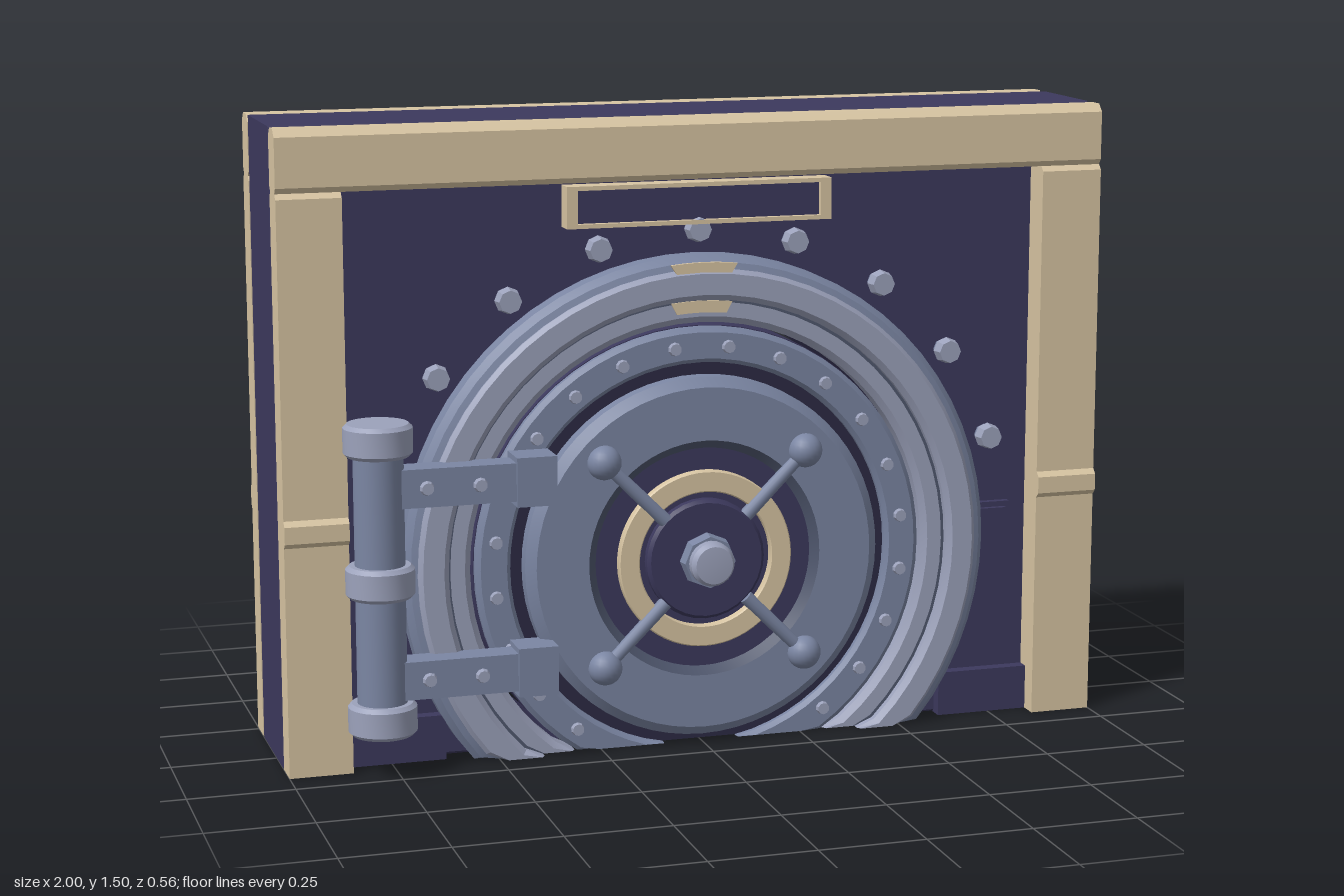
import * as THREE from 'three';
import { toCreasedNormals } from 'three/addons/utils/BufferGeometryUtils.js';

const CY = 0.455; // height of the door's centre
const mat = (name, color) => new THREE.MeshStandardMaterial({ name, color });

export function createModel() {
  const navy = mat('navy', 0x3c395d);
  const darkNavy = mat('dark navy', 0x2c2a44);
  const tan = mat('tan', 0xd8c5a3);
  const steel = mat('blue steel', 0x7b86a3);
  const paleSteel = mat('pale steel', 0x9ca2bb);
  const darkSteel = mat('dark steel', 0x50586f);

  const model = new THREE.Group();
  model.name = 'vaultDoorWall';

  const add = (name, geo, material, parent = model) => {
    const mesh = new THREE.Mesh(geo, material);
    mesh.name = name;
    parent.add(mesh);
    return mesh;
  };
  const group = (name) => {
    const g = new THREE.Group();
    g.name = name;
    model.add(g);
    return g;
  };
  // Box given by its limits
  const box = (name, x0, x1, y0, y1, z0, z1, material, parent) => {
    const geo = new THREE.BoxGeometry(x1 - x0, y1 - y0, z1 - z0);
    geo.translate((x0 + x1) / 2, (y0 + y1) / 2, (z0 + z1) / 2);
    return add(name, geo, material, parent);
  };
  // Ring or disc turned about the door's axis from [radius, z] points, cut off at the floor
  const turned = (name, points, material, parent, segments = 64) => {
    const geo = new THREE.LatheGeometry(points.map(([r, z]) => new THREE.Vector2(r, z)), segments);
    geo.rotateX(Math.PI / 2);
    geo.translate(0, CY, 0);
    const p = geo.attributes.position;
    for (let i = 0; i < p.count; i++) p.setY(i, Math.max(0, p.getY(i)));
    // Leave the ring's opening free of floor-level faces
    const rMin = Math.min(...points.map((q) => q[0]));
    const gap = Math.sqrt(Math.max(0, rMin * rMin - CY * CY));
    const index = geo.index.array, kept = [];
    for (let i = 0; i < index.length; i += 3) {
      const tri = [...index.slice(i, i + 3)];
      const onFloor = tri.every((v) => p.getY(v) === 0);
      if (!onFloor || tri.every((v) => Math.abs(p.getX(v)) >= gap)) kept.push(...tri);
    }
    geo.setIndex(kept);
    return add(name, toCreasedNormals(geo, 0.4), material, parent);
  };
  // Side profile [distance from wall, y] run along x, on the front or back of the wall
  const trim = (name, points, x0, x1, front) => {
    const shape = new THREE.Shape(points.map(([d, y]) => new THREE.Vector2(d, y)));
    const geo = new THREE.ExtrudeGeometry(shape, { depth: x1 - x0, bevelEnabled: false });
    geo.rotateY(front ? -Math.PI / 2 : Math.PI / 2);
    geo.translate(front ? x1 : x0, 0, front ? 0.095 : -0.19);
    return add(name, geo, tan);
  };
  // Cylinder pointing forward from z0 to z1
  const stud = (name, x, y, r, z0, z1, sides, material, parent, tip = r) => {
    const geo = new THREE.CylinderGeometry(tip, r, z1 - z0, sides);
    geo.rotateX(Math.PI / 2);
    geo.translate(x, y, (z0 + z1) / 2);
    return add(name, toCreasedNormals(geo, 0.6), material, parent);
  };

  // Wall with a round opening that runs out through the floor
  const R = 0.56, a = Math.asin(CY / R), hx = R * Math.cos(a);
  const outline = new THREE.Shape();
  outline.moveTo(hx, 0);
  outline.lineTo(1, 0);
  outline.lineTo(1, 1.5);
  outline.lineTo(-1, 1.5);
  outline.lineTo(-1, 0);
  outline.lineTo(-hx, 0);
  outline.absarc(0, CY, R, Math.PI + a, -a, true);
  const bevel = 0.012;
  const wall = new THREE.ExtrudeGeometry(outline, {
    depth: 0.285 - 2 * bevel, bevelThickness: bevel, bevelSize: bevel,
    bevelOffset: -bevel, bevelSegments: 1, curveSegments: 64,
  });
  wall.translate(0, 0, -0.19 + bevel);
  add('wall', toCreasedNormals(wall, 0.4), navy);

  // Beams, banded columns and base blocks on both faces
  const beam = [[0, 1.366], [0.01, 1.355], [0.063, 1.355], [0.073, 1.368], [0.073, 1.482],
    [0.055, 1.5], [0.018, 1.5], [0, 1.482]];
  const column = [[0, 0], [0.075, 0], [0.075, 0.545], [0.087, 0.557], [0.087, 0.597],
    [0.075, 0.609], [0.075, 1.343], [0.063, 1.355], [0.01, 1.355], [0, 1.344]];
  for (const front of [true, false]) {
    const side = front ? 'front' : 'back';
    trim(side + 'Beam', beam, -1, 1, front);
    for (const s of [-1, 1]) {
      trim(side + 'Column', column, s < 0 ? -1 : 0.85, s < 0 ? -0.85 : 1, front);
      const z = front ? [0.09, 0.125] : [-0.22, -0.185];
      box(side + 'BaseBlock', s < 0 ? -0.85 : 0.62, s < 0 ? -0.62 : 0.85, 0, 0.108, ...z, navy);
    }
  }

  // Framed plaque over the door and raised side panel
  const plaque = group('plaque');
  box('plaquePanel', -0.3, 0.3, 1.255, 1.34, 0.09, 0.13, navy, plaque);
  for (const s of [-1, 1]) {
    box('plaqueEnd', s * 0.309 - 0.013, s * 0.309 + 0.013, 1.247, 1.345, 0.09, 0.145, tan, plaque);
    box('plaqueRail', -0.3, 0.3, 1.296 + s * 0.044 - 0.005, 1.296 + s * 0.044 + 0.005,
      0.09, 0.145, tan, plaque);
  }
  box('sidePanel', 0.6, 0.803, 0.165, 0.528, 0.09, 0.112, navy);
  box('sidePanelFace', 0.6, 0.79, 0.178, 0.515, 0.112, 0.125, navy);

  // Stepped door frame
  const frame = group('doorFrame');
  turned('frameRim', [[0.69, 0.09], [0.72, 0.09], [0.72, 0.14], [0.705, 0.158], [0.685, 0.165]],
    steel, frame);
  turned('frameFace', [[0.69, 0.1], [0.69, 0.168], [0.68, 0.178], [0.63, 0.178], [0.617, 0.166],
    [0.617, 0.1]], paleSteel, frame);
  turned('frameStep', [[0.62, 0.15], [0.575, 0.15], [0.56, 0.138], [0.56, 0.09]], paleSteel, frame);
  turned('frameGroove', [[0.62, 0.1505], [0.61, 0.1505]], darkSteel, frame);

  // Tan markers curved along the top of the frame
  for (const [r0, r1, half, z] of [[0.682, 0.706, 0.115, 0.166], [0.585, 0.613, 0.122, 0.146]]) {
    const arc = new THREE.Shape();
    arc.absarc(0, CY, r1, Math.PI / 2 - half, Math.PI / 2 + half, false);
    arc.absarc(0, CY, r0, Math.PI / 2 + half * 0.85, Math.PI / 2 - half * 0.85, true);
    const geo = new THREE.ExtrudeGeometry(arc, { depth: 0.009, bevelEnabled: false });
    geo.translate(0, 0, z);
    add('frameMarker', geo, tan, frame);
  }

  // Wall bolts around the frame
  for (let i = -4; i <= 4; i++) {
    const t = i * Math.PI / 10, x = 0.778 * Math.sin(t), y = CY + 0.778 * Math.cos(t);
    stud('wallBolt', x, y, 0.025, 0.09, 0.115, 8, steel);
    stud('wallBoltHead', x, y, 0.032, 0.115, 0.145, 8, paleSteel, model, 0.027);
  }

  // Door: plug, riveted ring, raised plate and dish
  const door = group('door');
  turned('doorPlug', [[0, -0.065], [0.552, -0.065], [0.552, 0.13], [0.47, 0.13]], navy, door);
  turned('doorGap', [[0.48, 0.131], [0.42, 0.131]], darkNavy, door);
  turned('rivetRing', [[0.55, 0.125], [0.55, 0.143], [0.538, 0.153], [0.475, 0.153],
    [0.465, 0.143], [0.465, 0.125]], steel, door);
  turned('doorPlate', [[0.435, 0.125], [0.435, 0.165], [0.412, 0.185], [0.285, 0.185]], steel, door);
  turned('dishEdge', [[0.286, 0.185], [0.265, 0.168]], darkSteel, door);
  turned('dish', [[0.27, 0.168], [0, 0.168]], navy, door);
  turned('tanRing', [[0.213, 0.165], [0.213, 0.186], [0.21, 0.189], [0.165, 0.189], [0.162, 0.186],
    [0.162, 0.165]], tan, door);
  turned('hubPlate', [[0.145, 0.165], [0.145, 0.186], [0.137, 0.194], [0, 0.194]], navy, door, 32);
  for (let i = 0; i < 24; i++) {
    const t = (i + 0.5) * Math.PI / 12, y = CY + 0.505 * Math.cos(t);
    if (y > 0.02) stud('ringRivet', 0.505 * Math.sin(t), y, 0.017, 0.15, 0.164, 10, paleSteel, door, 0.014);
  }

  // Four-armed handle
  const handle = group('handle');
  stud('hub', 0, CY, 0.067, 0.19, 0.225, 8, steel, handle, 0.062);
  turned('hubKnob', [[0.053, 0.22], [0.053, 0.245], [0.045, 0.258], [0, 0.262]], paleSteel, handle, 24);
  for (let i = 0; i < 4; i++) {
    const t = Math.PI / 4 + i * Math.PI / 2;
    const arm = new THREE.CylinderGeometry(0.015, 0.017, 0.21, 12);
    arm.translate(0, 0.245, 0);
    const rod = add('handleArm', arm, steel, handle);
    rod.position.set(0, CY, 0.186);
    rod.rotation.z = t;
    const ball = add('handleBall', new THREE.SphereGeometry(0.041, 20, 14), steel, handle);
    ball.position.set(0.35 * Math.cos(t), CY + 0.35 * Math.sin(t), 0.184);
  }

  // Hinge post with collars and two strap arms
  const hinge = group('hinge');
  const post = (name, y0, y1, r, b, material) => {
    const pts = [[0, y0], [r - b, y0], [r, y0 + b], [r, y1 - b], [r - b, y1], [0, y1]];
    const geo = new THREE.LatheGeometry(pts.map(([u, v]) => new THREE.Vector2(u, v)), 28);
    geo.translate(-0.785, 0, 0.2);
    add(name, toCreasedNormals(geo, 0.4), material, hinge);
  };
  post('hingePost', 0.12, 0.81, 0.058, 0.005, steel);
  for (const y of [0.1, 0.425, 0.755]) post('hingeCollar', y, y + 0.076, 0.08, 0.009, paleSteel);
  for (const y of [0.228, 0.68]) {
    box('hingeArm', -0.75, -0.46, y - 0.045, y + 0.045, 0.165, 0.235, steel, hinge);
    box('hingeClamp', -0.47, -0.375, y - 0.058, y + 0.058, 0.15, 0.242, steel, hinge);
    for (const x of [-0.68, -0.555]) {
      stud('hingeRivet', x, y, 0.018, 0.233, 0.247, 10, paleSteel, hinge, 0.014);
    }
  }

  // Back of the door: eight radial bars and a hub
  const back = group('doorBack');
  for (let i = 0; i < 8; i++) {
    const bar = new THREE.BoxGeometry(0.042, 0.37, 0.05);
    bar.translate(0, 0.28, 0);
    const rib = add('backBar', bar, navy, back);
    rib.position.set(0, CY, -0.087);
    rib.rotation.z = (i + 0.5) * Math.PI / 4;
  }
  stud('backCollar', 0, CY, 0.115, -0.145, -0.06, 16, paleSteel, back);
  stud('backHub', 0, CY, 0.13, -0.17, -0.145, 16, steel, back);

  return model;
}
